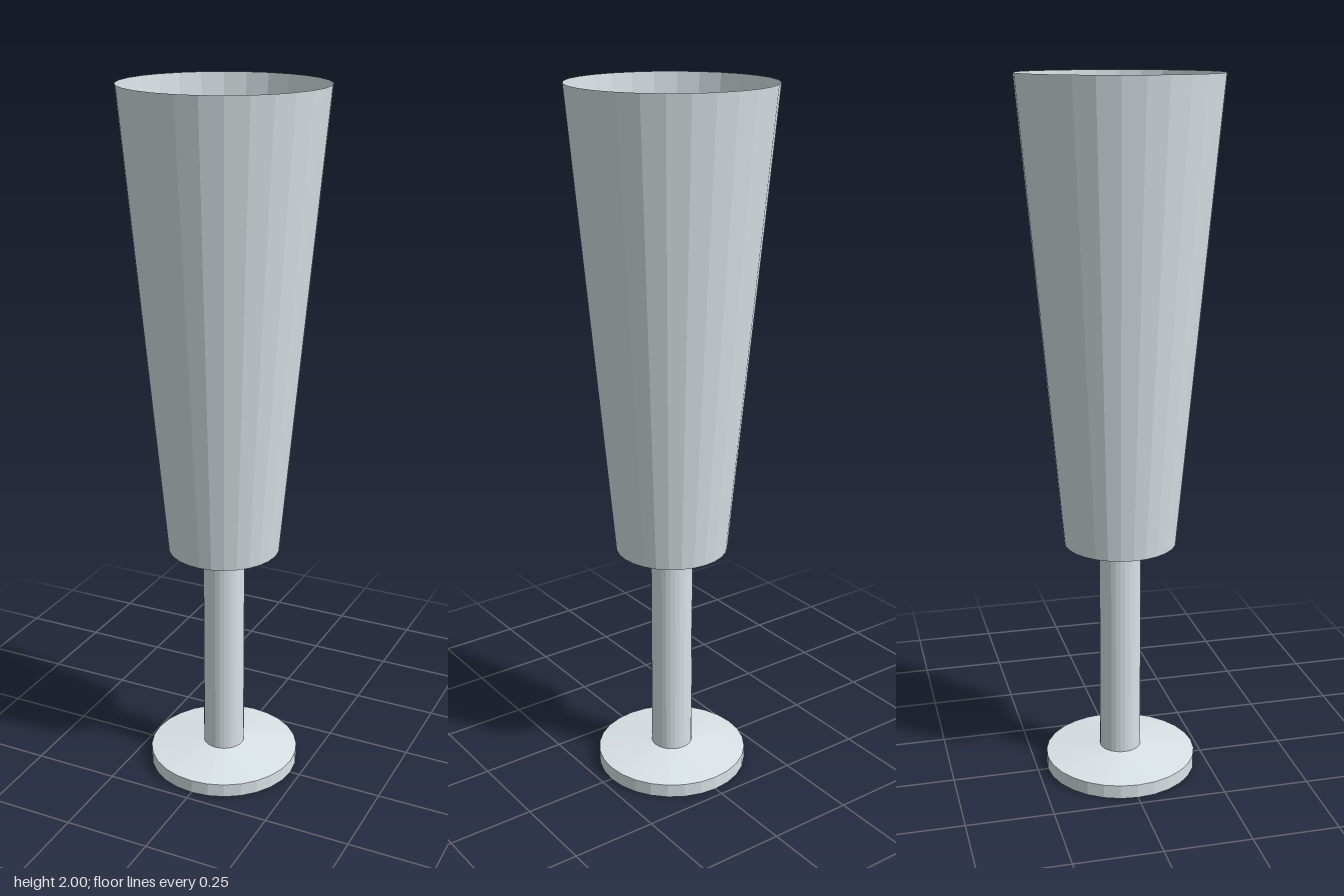
import * as THREE from 'three';

const SIDES = 28;

export function createModel() {
  const glass = new THREE.MeshStandardMaterial({ color: 0xdbe4e8, flatShading: true, side: THREE.DoubleSide });
  glass.name = 'clear glass';
  const wine = new THREE.MeshStandardMaterial({ color: 0xe2ca70, flatShading: true });
  wine.name = 'golden wine';

  const model = new THREE.Group();
  model.name = 'fluteGlass';

  // Turned part from [radius, height] profile points, bottom to top
  const turned = (name, profile, material) => {
    const points = profile.map(([r, y]) => new THREE.Vector2(r, y));
    const mesh = new THREE.Mesh(new THREE.LatheGeometry(points, SIDES), material);
    mesh.name = name;
    model.add(mesh);
  };

  // Disc foot with a gently sloping top
  turned('foot', [[0, 0], [0.22, 0], [0.22, 0.04], [0.06, 0.06]], glass);
  // Straight stem
  turned('stem', [[0.06, 0.06], [0.06, 0.7]], glass);
  // Thin tapered bowl, open at the top
  turned('bowl', [[0, 0.7], [0.16, 0.7], [0.28, 2]], glass);
  // Drink held inside the bowl, just below the rim
  turned('drink', [[0, 0.74], [0.145, 0.74], [0.25, 1.92], [0, 1.92]], wine);

  return model;
}
